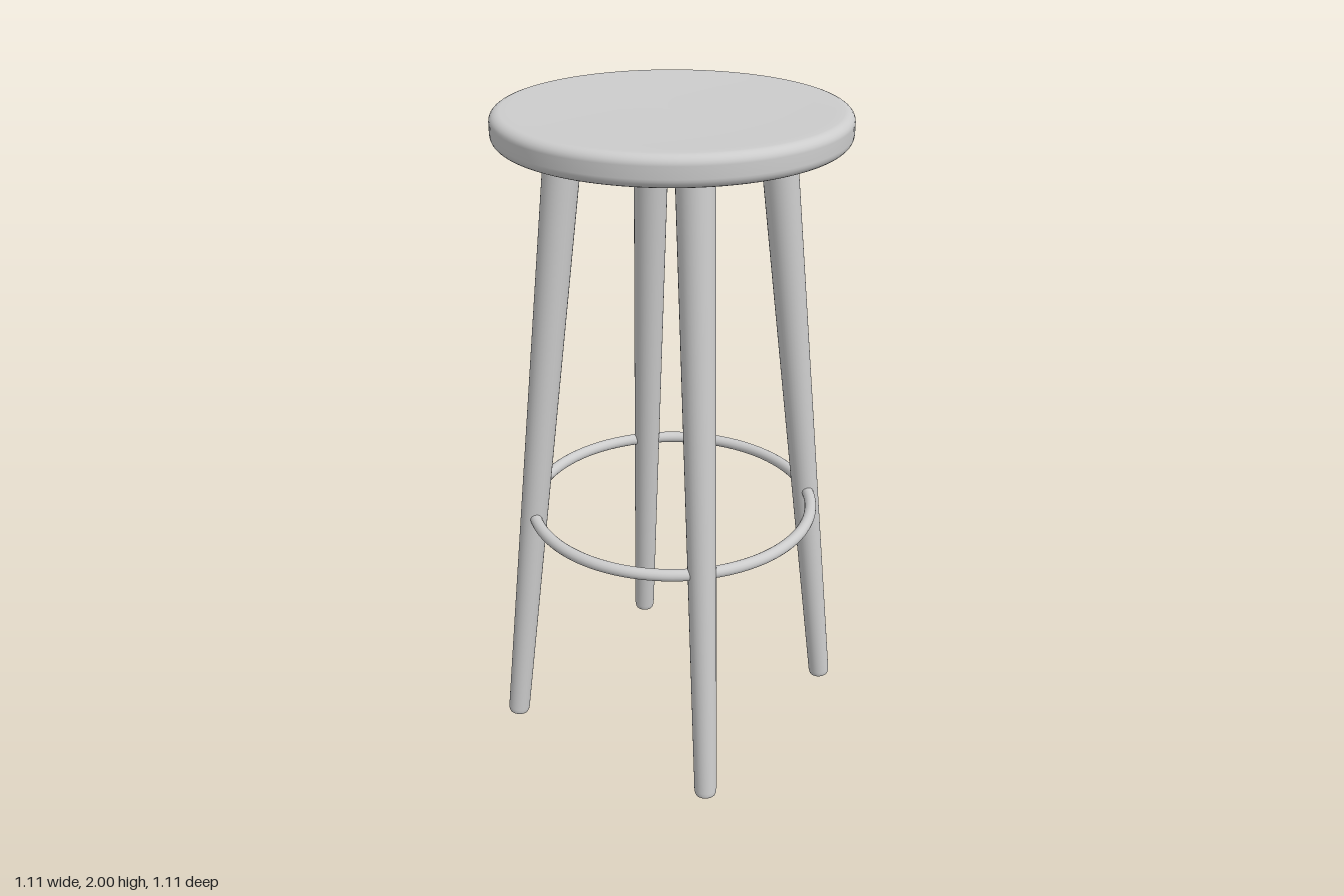
import * as THREE from 'three';

const grey = new THREE.MeshStandardMaterial({ color: 0xcccccc });
grey.name = 'paintedGrey';

// Lathe from [radius, height] pairs, listed bottom to top
function turned(name, profile, segments) {
  const points = profile.map(([r, y]) => new THREE.Vector2(r, y));
  const mesh = new THREE.Mesh(new THREE.LatheGeometry(points, segments), grey);
  mesh.name = name;
  return mesh;
}

// Points of a rounded corner in the seat profile
function corner(cx, cy, rx, ry, from, to) {
  return Array.from({ length: 7 }, (_, i) => {
    const a = from + (to - from) * i / 6;
    return [cx + rx * Math.cos(a), cy + ry * Math.sin(a)];
  });
}

export function createModel() {
  const stool = new THREE.Group();
  stool.name = 'barStool';

  // Round seat with softened rim and a very shallow dish
  stool.add(turned('seat', [
    [0, 1.912], [0.3, 1.912], [0.47, 1.912],
    ...corner(0.478, 1.939, 0.026, 0.027, -Math.PI / 2, 0),
    ...corner(0.474, 1.972, 0.03, 0.026, 0, Math.PI / 2),
    [0.45, 1.998], [0.4, 1.996], [0.3, 1.993], [0.15, 1.991], [0, 1.99],
  ], 96));

  // Four splayed, tapered legs with a small bevel at the foot
  const foot = new THREE.Vector3(0.522, 0.004, 0);
  const top = new THREE.Vector3(0.303, 1.925, 0);
  const axis = top.clone().sub(foot);
  const length = axis.length();
  const tilt = new THREE.Quaternion().setFromUnitVectors(
    new THREE.Vector3(0, 1, 0), axis.normalize());
  for (let i = 0; i < 4; i++) {
    const legMount = new THREE.Group();
    legMount.name = 'legMount' + (i + 1);
    const leg = turned('leg' + (i + 1), [
      [0, 0], [0.026, 0], [0.026, 0], [0.031, 0.003], [0.033, 0.009],
      [0.034, 0.02], [0.054, length], [0.054, length], [0, length],
    ], 32);
    leg.position.copy(foot);
    leg.quaternion.copy(tilt);
    legMount.add(leg);
    legMount.rotation.y = i * Math.PI / 2;
    stool.add(legMount);
  }

  // Foot ring passing through the legs
  const ring = new THREE.Mesh(new THREE.TorusGeometry(0.437, 0.018, 16, 96), grey);
  ring.name = 'footRing';
  ring.rotation.x = Math.PI / 2;
  ring.position.y = 0.752;
  stool.add(ring);

  return stool;
}
